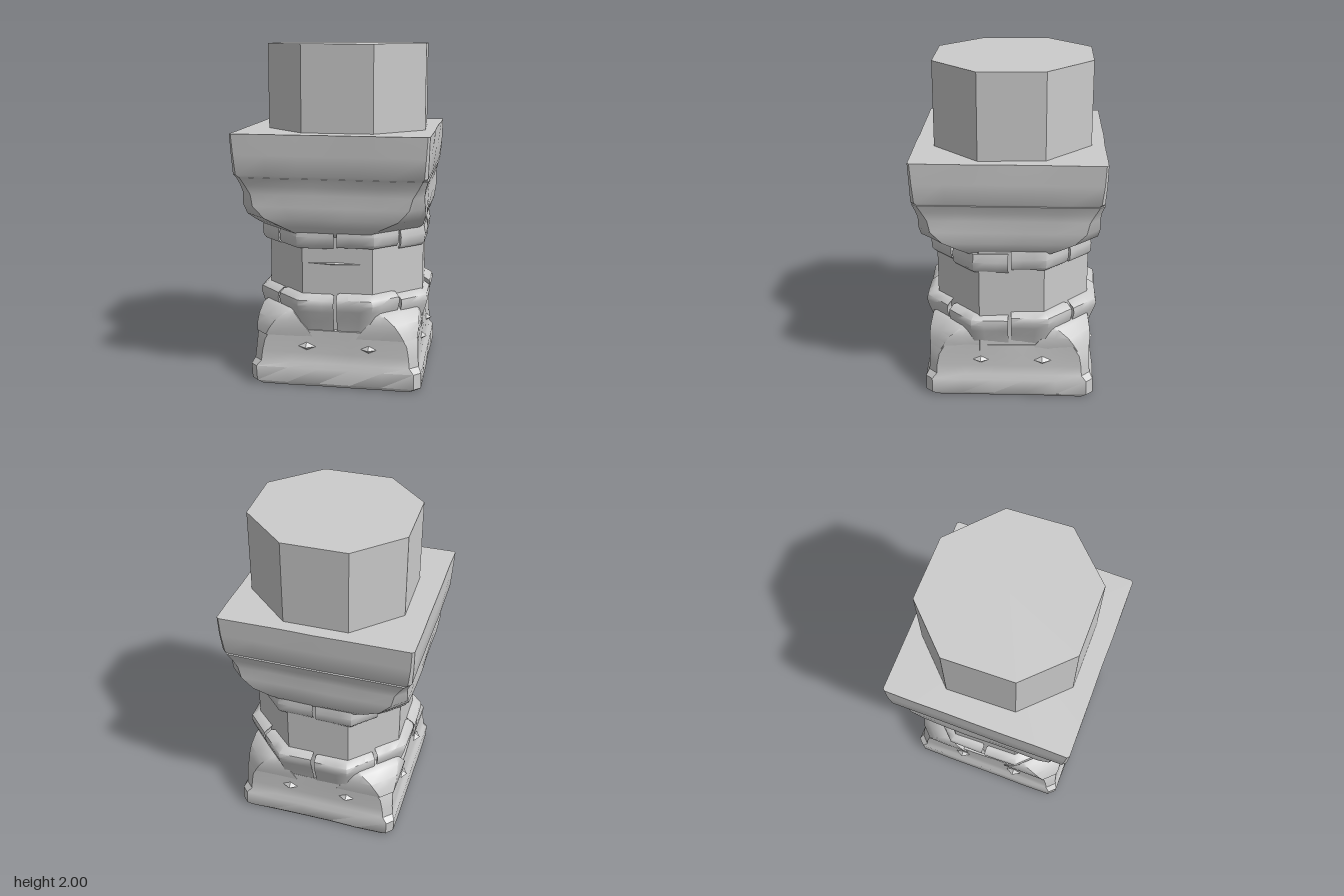
import * as THREE from 'three';
import { toCreasedNormals } from 'three/addons/utils/BufferGeometryUtils.js';

const material = new THREE.MeshStandardMaterial({ color: 0xcccccc });

// Smooth repeatable unevenness for worn stone
const wear = (x, y, z) =>
  Math.sin(9 * x + 5 * y + 1) * Math.sin(8 * z - 6 * y + 2) + 0.5 * Math.sin(17 * x - 13 * z + 21 * y);

// Split every edge of a closed outline into n pieces
function subdivide(points, n) {
  const out = [];
  points.forEach(([x, z], i) => {
    const [u, w] = points[(i + 1) % points.length];
    for (let k = 0; k < n; k++) out.push([x + ((u - x) * k) / n, z + ((w - z) * k) / n]);
  });
  return out;
}

// Skin closed outlines stacked in y, with flat caps; sections are [y, [[x, z], ...]]
function loft(sections, { split = 1, rough = 0, crease = 0.6 } = {}) {
  const pos = [], index = [];
  const rings = sections.map(([y, pts]) => [y, subdivide(pts, split)]);
  const n = rings[0][1].length;
  for (const [y, pts] of rings) {
    for (const [x, z] of pts) {
      const s = 1 + rough * wear(x, y, z);
      pos.push(x * s, y, z * s);
    }
  }
  for (let i = 0; i < rings.length - 1; i++) {
    for (let j = 0; j < n; j++) {
      const a = i * n + j, b = i * n + ((j + 1) % n);
      index.push(a, b, b + n, a, b + n, a + n);
    }
  }
  for (const top of [false, true]) {
    const [y, pts] = rings[top ? rings.length - 1 : 0];
    const start = top ? (rings.length - 1) * n : 0;
    const c = pos.length / 3;
    pos.push(pts.reduce((s, p) => s + p[0], 0) / n, y, pts.reduce((s, p) => s + p[1], 0) / n);
    for (let j = 0; j < n; j++) {
      const a = start + j, b = start + ((j + 1) % n);
      if (top) index.push(c, a, b);
      else index.push(c, b, a);
    }
  }
  const geo = new THREE.BufferGeometry();
  geo.setAttribute('position', new THREE.Float32BufferAttribute(pos, 3));
  geo.setIndex(index);
  return toCreasedNormals(geo, crease);
}

// Rectangle with cut corners, centred on (cx, cz)
function cutSquare(hx, hz, c, cx = 0, cz = 0) {
  const a = hx - c, b = hz - c;
  return [[-a, hz], [a, hz], [hx, b], [hx, -b], [a, -hz], [-a, -hz], [-hx, -b], [-hx, b]]
    .map(([x, z]) => [x + cx, z + cz]);
}

export function createModel() {
  const model = new THREE.Group();
  const add = (name, geo, parent = model) => {
    const mesh = new THREE.Mesh(geo, material);
    mesh.name = name;
    parent.add(mesh);
    return mesh;
  };
  const group = (name) => {
    const g = new THREE.Group();
    g.name = name;
    model.add(g);
    return g;
  };

  // Slightly irregular octagonal shaft through the whole pillar
  const shaft = [[-0.175, 0.44], [0.24, 0.44], [0.51, 0.17], [0.49, -0.21],
    [0.2, -0.475], [-0.18, -0.475], [-0.435, -0.22], [-0.425, 0.19]];
  add('shaft', loft([[0.3, shaft], [2, shaft]], { crease: 0.3 }));

  // Square base with a worn plinth and a shallow waist
  const base = [[0, 0.495, 0.06], [0.02, 0.508, 0.04], [0.11, 0.508, 0.04], [0.14, 0.49, 0.05],
    [0.2, 0.485, 0.05], [0.27, 0.482, 0.06], [0.34, 0.48, 0.1]];
  add('base', loft(base.map(([y, h, c]) => [y, cutSquare(h, h, c, 0.025, -0.005)]), { split: 5, rough: 0.007 }));

  // Corner spurs that lean in against the ring; a = distance of the side edge from the middle
  const spurs = group('cornerSpurs');
  const spur = [[0.3, 0.482, 0.07, 0.13], [0.345, 0.487, 0.1, 0.16], [0.39, 0.485, 0.13, 0.2],
    [0.44, 0.475, 0.18, 0.24], [0.462, 0.45, 0.19, 0.25]];
  for (let q = 0; q < 4; q++) {
    const cos = Math.cos((q * Math.PI) / 2), sin = Math.sin((q * Math.PI) / 2);
    const turn = ([x, z]) => [x * cos + z * sin + 0.02, z * cos - x * sin - 0.005];
    add('spur', loft(spur.map(([y, h, c, a]) => [y,
      [[a, h], [Math.max(h - c, a + 0.01), h], [h, Math.max(h - c, a + 0.01)], [h, a], [0.2, 0.2]].map(turn)]),
    { split: 2, rough: 0.004, crease: 0.8 }), spurs);
  }

  // Ring of eight stones, each wrapped around one corner of an octagon
  function stoneRing(name, octagon, profile) {
    const g = group(name);
    octagon.forEach((p, i) => {
      const toward = (q) => [p[0] + (q[0] - p[0]) * 0.48, p[1] + (q[1] - p[1]) * 0.48];
      const outline = [toward(octagon[(i + 7) % 8]), p, toward(octagon[(i + 1) % 8]), [p[0] * 0.6, p[1] * 0.6]];
      const lift = 0.012 * Math.sin(i * 2.3);
      add('ringStone', loft(profile.map(([y, s]) => [y + lift, outline.map(([x, z]) => [x * s, z * s])]),
        { split: 3, rough: 0.005, crease: 0.8 }), g);
    });
  }
  stoneRing('lowerRing', cutSquare(0.508, 0.517, 0.29, 0.03, -0.01),
    [[0.33, 0.915], [0.4, 0.95], [0.46, 0.99], [0.5, 1.01], [0.53, 1], [0.555, 0.93]]);
  stoneRing('upperRing', cutSquare(0.498, 0.483, 0.27, 0.025, -0.01),
    [[0.83, 0.96], [0.85, 0.99], [0.9, 1], [0.95, 0.98]]);

  // Capital flaring from an octagon to a square
  const capital = [[0.9, 0.46, 0.28], [0.92, 0.478, 0.26], [0.96, 0.508, 0.22], [1.01, 0.526, 0.14],
    [1.08, 0.532, 0.08], [1.15, 0.528, 0.06], [1.2, 0.537, 0.04], [1.25, 0.555, 0.03]];
  add('capital', loft(capital.map(([y, h, c]) => [y, cutSquare(h, h - 0.01, c, 0.005, -0.003)]),
    { split: 5, rough: 0.006 }));

  // Square slab on top of the capital
  const slab = [[1.24, 0.545, 0.03], [1.265, 0.56, 0.02], [1.38, 0.565, 0.015], [1.5, 0.569, 0.012]];
  add('slab', loft(slab.map(([y, h, c]) => [y, cutSquare(h, h - 0.015, c)]), { split: 6, rough: 0.004 }));

  // Small diamond chips standing out of the base, two on each side
  const chips = group('stoneChips');
  const diamond = new THREE.OctahedronGeometry(1);
  for (let side = 0; side < 4; side++) {
    const face = new THREE.Group();
    face.name = 'chipPair';
    face.rotation.y = (side * Math.PI) / 2;
    face.position.set(0.025, 0, -0.005);
    chips.add(face);
    for (const x of [-0.17, 0.2]) {
      const chip = add('chip', diamond, face);
      chip.scale.set(0.055, 0.025, 0.035);
      chip.position.set(x, 0.24, 0.48);
    }
  }

  // Thin scar across the front of the shaft
  const scar = add('shaftScar', diamond);
  scar.scale.set(0.2, 0.01, 0.012);
  scar.position.set(0.02, 0.74, 0.438);

  return model;
}
